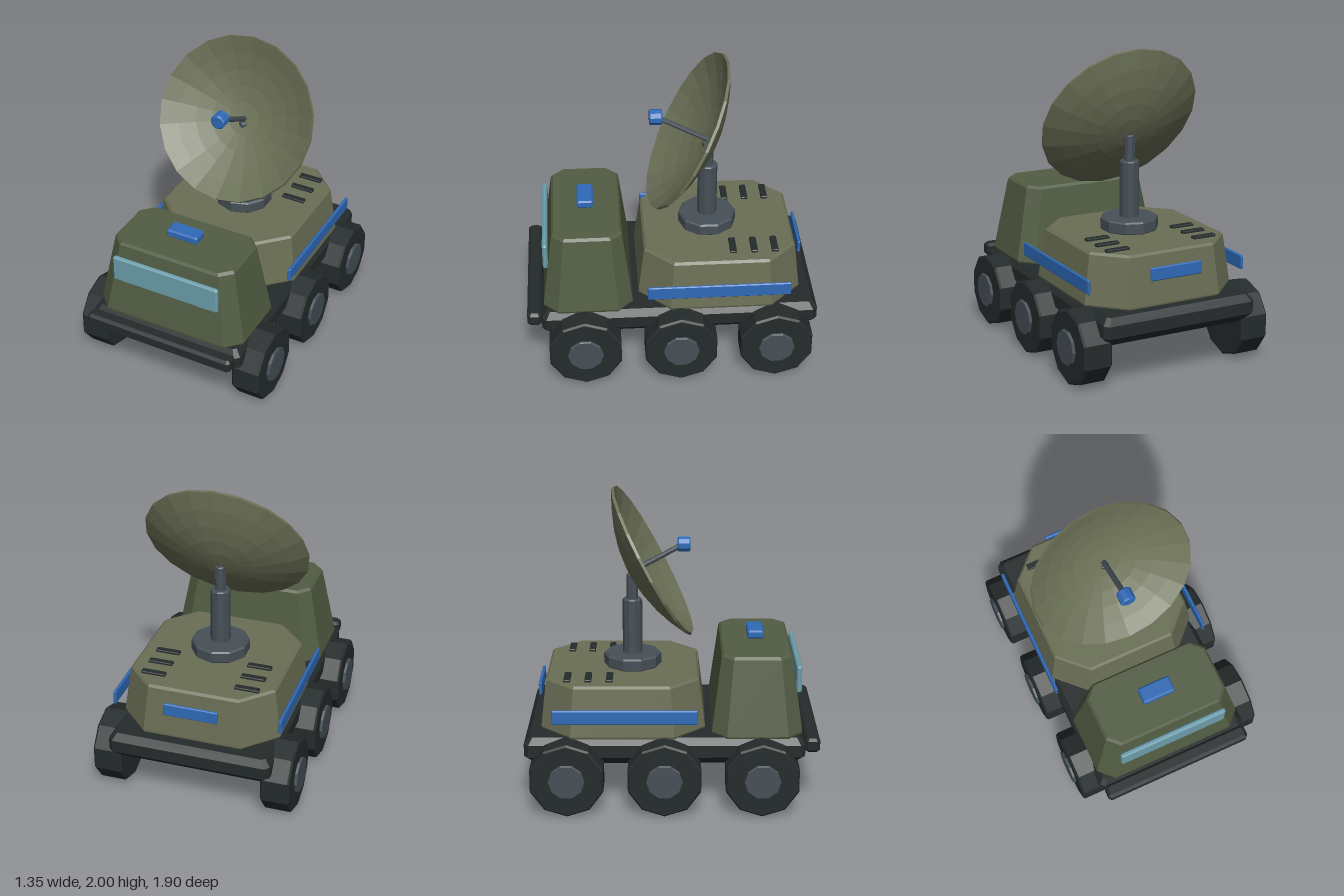
import * as THREE from 'three';

const mat = (color, side = THREE.FrontSide) =>
  new THREE.MeshStandardMaterial({ color, flatShading: true, side });

// Stacks eight-sided rings: each level is [y, half width, back z, front z, corner cut]
function loft(levels) {
  const rings = levels.map(([y, x, z0, z1, c]) => [
    [x, y, z0 + c], [x, y, z1 - c], [x - c, y, z1], [c - x, y, z1],
    [-x, y, z1 - c], [-x, y, z0 + c], [c - x, y, z0], [x - c, y, z0],
  ]);
  const pos = [];
  const tri = (...corners) => corners.forEach((p) => pos.push(...p));
  for (let k = 0; k + 1 < rings.length; k++) {
    for (let i = 0; i < 8; i++) {
      const j = (i + 1) % 8, lo = rings[k], hi = rings[k + 1];
      tri(lo[i], hi[i], lo[j]);
      tri(lo[j], hi[i], hi[j]);
    }
  }
  const bottom = rings[0], top = rings[rings.length - 1];
  for (let i = 1; i < 7; i++) {
    tri(bottom[0], bottom[i], bottom[i + 1]);
    tri(top[0], top[i + 1], top[i]);
  }
  const geo = new THREE.BufferGeometry();
  geo.setAttribute('position', new THREE.Float32BufferAttribute(pos, 3));
  geo.computeVertexNormals();
  return geo;
}

// Box with cut edges, centred on its own origin
function bevelBox(w, h, d, b) {
  const x = w / 2, y = h / 2, z = d / 2;
  return loft([
    [-y, x - b, b - z, z - b, b / 2], [b - y, x, -z, z, b],
    [y - b, x, -z, z, b], [y, x - b, b - z, z - b, b / 2],
  ]);
}

// Cylinder with cut rims, standing on y = 0
function bevelCylinder(r, h, b, sides) {
  return new THREE.LatheGeometry([
    [0, 0], [r - b, 0], [r, b], [r, h - b], [r - b, h], [0, h],
  ].map(([x, y]) => new THREE.Vector2(x, y)), sides);
}

export function createModel() {
  const model = new THREE.Group();
  model.name = 'radarTruck';
  const dark = mat(0x252b2b), slate = mat(0x465057), cabGreen = mat(0x525d43);
  const bodyGreen = mat(0x6a6f55), blue = mat(0x2f6ab8), glass = mat(0x6d9eac);

  const add = (name, geo, material, x = 0, y = 0, z = 0, parent = model) => {
    const mesh = new THREE.Mesh(geo, material);
    mesh.name = name;
    mesh.position.set(x, y, z);
    parent.add(mesh);
    return mesh;
  };

  // Chassis and bumper
  add('chassis', loft([
    [0.29, 0.475, -0.89, 0.79, 0.02], [0.35, 0.535, -0.95, 0.855, 0.03],
    [0.43, 0.535, -0.95, 0.855, 0.03], [0.475, 0.5, -0.915, 0.82, 0.02],
  ]), dark);
  add('frontBumper', bevelBox(1.04, 0.095, 0.095, 0.018), dark, 0, 0.422, 0.902);

  // Six ten-sided wheels with hub caps
  const tyre = bevelCylinder(0.246, 0.19, 0.012, 10).rotateY(Math.PI / 2).rotateZ(-Math.PI / 2);
  const hub = bevelCylinder(0.117, 0.022, 0.005, 10).rotateZ(-Math.PI / 2);
  for (const [row, z] of [['front', 0.577], ['middle', -0.048], ['rear', -0.672]]) {
    for (const side of [1, -1]) {
      const wheel = new THREE.Group();
      wheel.name = row + (side > 0 ? 'Left' : 'Right') + 'Wheel';
      wheel.position.set(side * 0.466, 0.236, z);
      wheel.rotation.y = side > 0 ? 0 : Math.PI;
      add('tyre', tyre, dark, 0, 0, 0, wheel);
      add('hubCap', hub, slate, 0.188, 0, 0, wheel);
      model.add(wheel);
    }
  }

  // Cab with windshield and roof beacon
  add('cab', loft([
    [0.47, 0.515, 0.26, 0.838, 0.095], [0.485, 0.52, 0.257, 0.84, 0.095],
    [0.972, 0.428, 0.318, 0.772, 0.075], [0.988, 0.412, 0.332, 0.758, 0.07],
  ]), cabGreen);
  add('windshield', bevelBox(0.75, 0.18, 0.034, 0.01), glass, 0, 0.82, 0.817);
  add('roofBeacon', bevelBox(0.22, 0.054, 0.108, 0.01), blue, 0, 1.038, 0.547);

  // Rear body with marking strips and roof vents
  add('rearBody', loft([
    [0.47, 0.52, -0.847, 0.212, 0.2], [0.485, 0.525, -0.85, 0.215, 0.2],
    [0.795, 0.483, -0.815, 0.175, 0.185], [0.81, 0.468, -0.8, 0.16, 0.175],
  ]), bodyGreen);
  add('rearStrip', bevelBox(0.36, 0.085, 0.02, 0.006), blue, 0, 0.687, -0.864);
  for (const side of [1, -1]) {
    add('sideStrip', bevelBox(0.02, 0.093, 0.93, 0.006), blue, side * 0.55, 0.63, -0.3);
    for (const z of [-0.675, -0.54, -0.403]) {
      add('roofVent', bevelBox(0.16, 0.022, 0.043, 0.004), dark, side * 0.31, 0.814, z);
    }
  }

  // Turntable, mast and neck
  add('turntable', bevelCylinder(0.19, 0.085, 0.01, 10), slate, 0, 0.805, -0.26);
  add('mast', bevelCylinder(0.065, 0.38, 0.008, 10), slate, 0, 0.88, -0.26);
  add('dishNeck', bevelCylinder(0.037, 0.17, 0.005, 8), slate, 0, 1.255, -0.26);

  // Tilted dish: outer bowl out to the rim, then inner bowl back to the centre
  const antenna = new THREE.Group();
  antenna.name = 'antenna';
  antenna.position.set(0, 1.52, -0.115);
  antenna.rotation.x = 1.075;
  model.add(antenna);
  const profile = [];
  const steps = 5, radius = 0.545, depth = 0.162;
  for (let i = 0; i <= steps; i++) {
    const t = i / steps;
    profile.push(new THREE.Vector2(radius * t, depth * (t * t - 1) - 0.018));
  }
  for (let i = steps; i >= 0; i--) {
    const t = i / steps;
    profile.push(new THREE.Vector2((radius - 0.005) * t, depth * (t * t - 1)));
  }
  add('dish', new THREE.LatheGeometry(profile, 20), bodyGreen, 0, 0, 0, antenna);
  add('feedArm', new THREE.CylinderGeometry(0.018, 0.018, 0.37, 8), slate, 0, 0.025, 0, antenna);

  // Feed horn at the end of the arm
  add('feedHorn', bevelCylinder(0.051, 0.084, 0.008, 10).rotateX(Math.PI / 2), blue, 0, 1.622, 0.036);

  return model;
}
